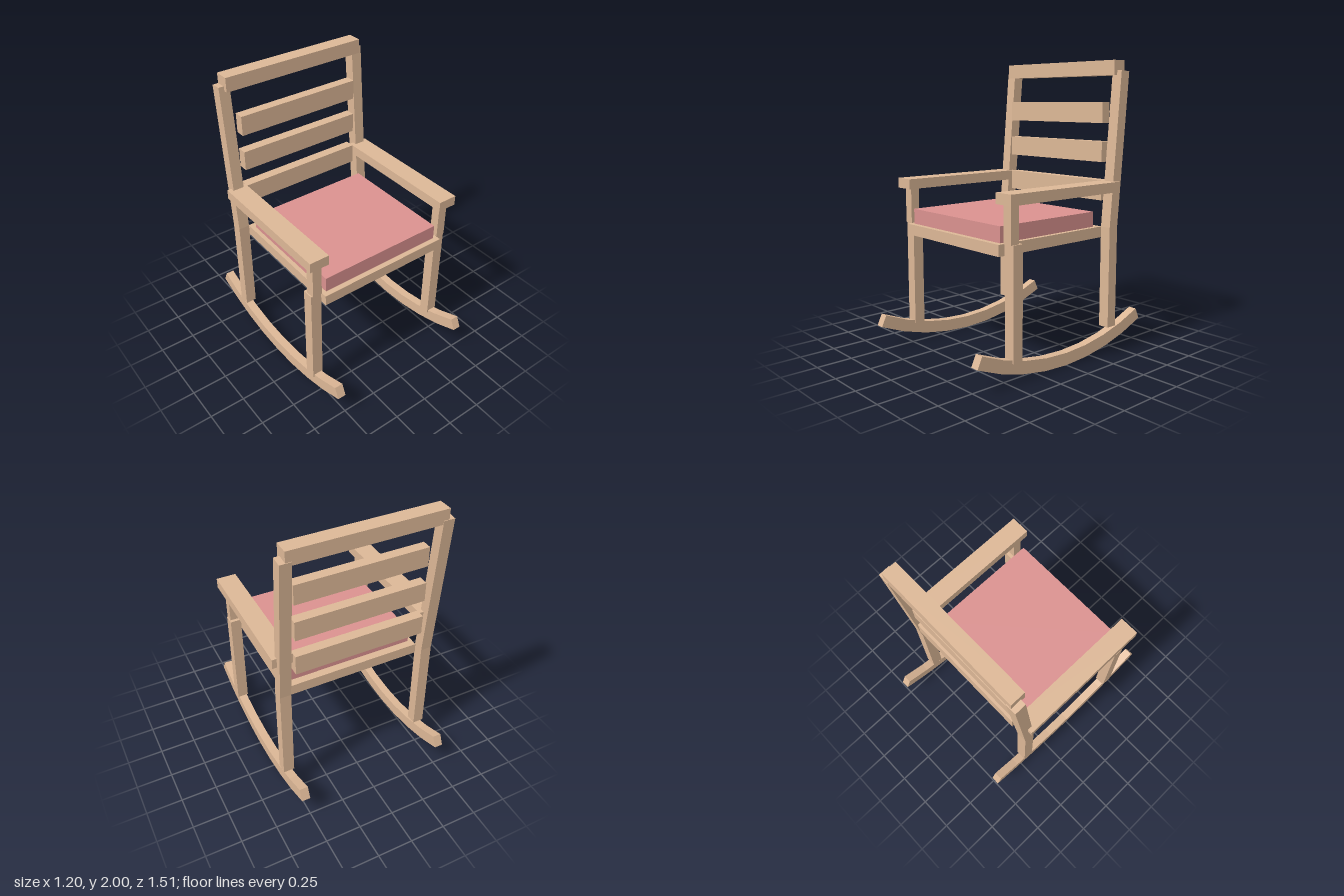
import * as THREE from 'three';

const wood = new THREE.MeshStandardMaterial({ color: 0xdcb796 });
wood.name = 'light wood';
const fabric = new THREE.MeshStandardMaterial({ color: 0xda918f });
fabric.name = 'rose fabric';

// Box given by its limits on each axis
function box(name, [x0, x1], [y0, y1], [z0, z1], material = wood) {
  const mesh = new THREE.Mesh(new THREE.BoxGeometry(x1 - x0, y1 - y0, z1 - z0), material);
  mesh.position.set((x0 + x1) / 2, (y0 + y1) / 2, (z0 + z1) / 2);
  mesh.name = name;
  return mesh;
}

// Side profile of [z, y] points, extruded from x0 to x1
function sidePanel(name, points, x0, x1) {
  const shape = new THREE.Shape(points.map(([z, y]) => new THREE.Vector2(-z, y)));
  const geometry = new THREE.ExtrudeGeometry(shape, { depth: x1 - x0, bevelEnabled: false });
  geometry.rotateY(Math.PI / 2);
  geometry.translate(x0, 0, 0);
  const mesh = new THREE.Mesh(geometry, wood);
  mesh.name = name;
  return mesh;
}

// Curved runner: an arc of eight straight segments
function rockerProfile() {
  const outer = 1.81, inner = 1.725, half = 0.43, segments = 8;
  const arc = (radius) => Array.from({ length: segments + 1 }, (_, i) => {
    const a = -half + (2 * half * i) / segments;
    return [radius * Math.sin(a), outer - radius * Math.cos(a)];
  });
  return [...arc(outer), ...arc(inner).reverse()];
}

export function createModel() {
  const chair = new THREE.Group();
  chair.name = 'rockingChair';

  // Seat and cushion
  chair.add(box('seat', [-0.49, 0.49], [0.8, 0.875], [-0.405, 0.53]));
  chair.add(box('cushion', [-0.46, 0.46], [0.875, 0.98], [-0.35, 0.493], fabric));

  // Back slats and top rail
  for (const y of [1.05, 1.315, 1.58]) {
    chair.add(box('backSlat', [-0.46, 0.46], [y, y + 0.14], [-0.497, -0.427]));
  }
  chair.add(box('topRail', [-0.53, 0.53], [1.9, 2], [-0.563, -0.458]));

  // Side frames
  for (const side of [-1, 1]) {
    const span = (a, b) => (side > 0 ? [a, b] : [-b, -a]);
    const frame = new THREE.Group();
    frame.name = side > 0 ? 'leftSide' : 'rightSide';
    const legX = span(0.49, 0.568);
    frame.add(box('frontLeg', legX, [0.135, 0.875], [0.403, 0.481]));
    frame.add(box('armPost', span(0.493, 0.56), [0.875, 1.12], [0.428, 0.493]));
    frame.add(box('armrest', span(0.46, 0.6), [1.12, 1.19], [-0.458, 0.527]));
    frame.add(box('backLeg', legX, [0.17, 0.875], [-0.478, -0.4]));
    frame.add(sidePanel('backPost',
      [[-0.4, 0.875], [-0.478, 0.875], [-0.567, 1.926], [-0.489, 1.933]], ...legX));
    frame.add(sidePanel('rocker', rockerProfile(), ...span(0.499, 0.559)));
    chair.add(frame);
  }
  return chair;
}
